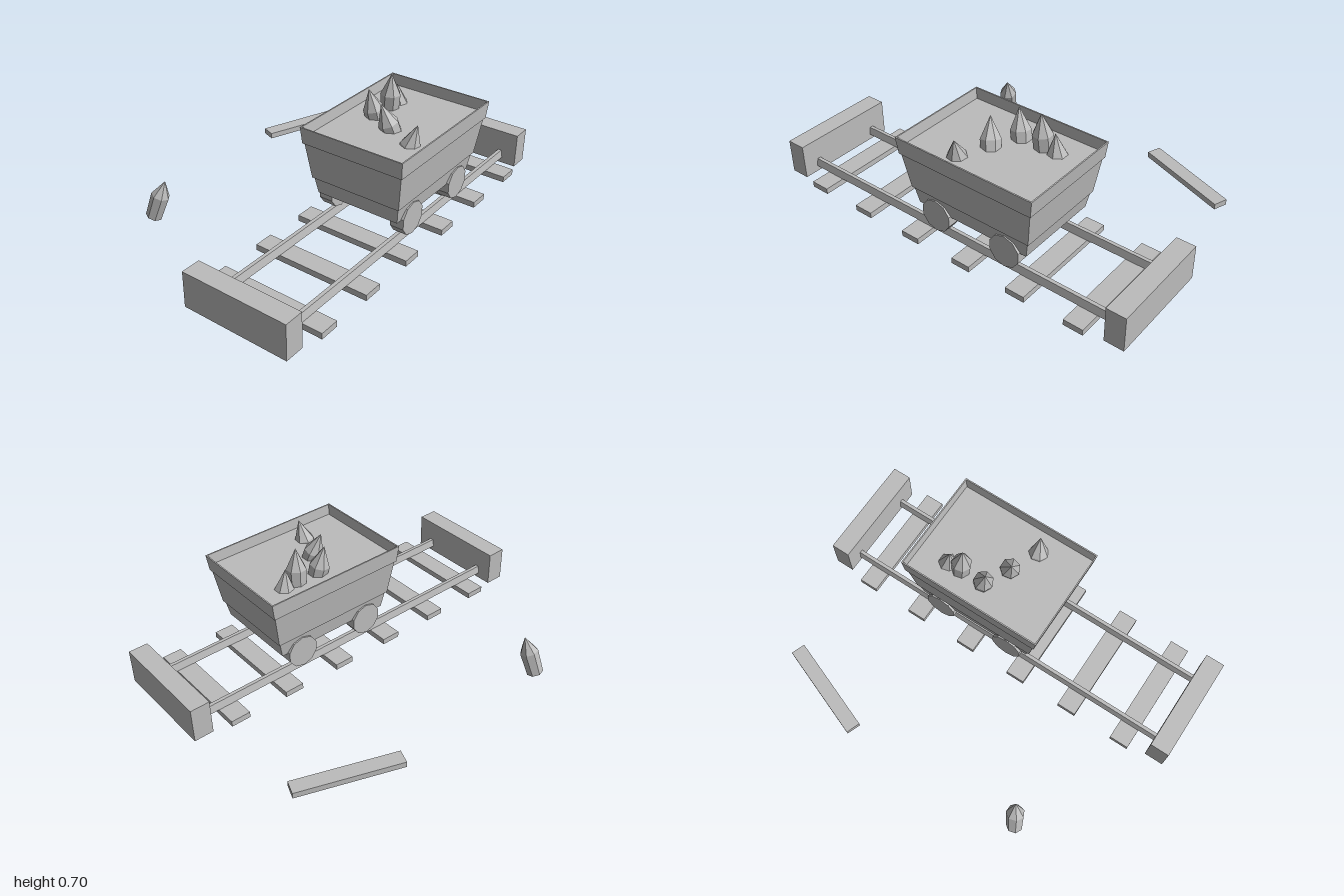
import * as THREE from 'three';

export function createModel() {
  const root = new THREE.Group();
  root.name = 'mineCartScene';
  const grey = new THREE.MeshStandardMaterial({ color: 0xbcbcbc });

  function add(name, geometry, x = 0, y = 0, z = 0, parent = root) {
    const mesh = new THREE.Mesh(geometry, grey);
    mesh.name = name;
    mesh.position.set(x, y, z);
    parent.add(mesh);
    return mesh;
  }
  // facet a geometry so that every face is flat
  function faceted(geometry) {
    const g = geometry.index ? geometry.toNonIndexed() : geometry;
    g.computeVertexNormals();
    return g;
  }

  // track: end stops, sleepers and tapered rails
  const trackX = 0.353;
  const track = new THREE.Group();
  track.name = 'track';
  root.add(track);
  for (const s of [-1, 1])
    add('bufferStop', new THREE.BoxGeometry(0.548, 0.18, 0.098), trackX, 0.14, s * 0.951, track);
  for (let i = 0; i < 6; i++)
    add('sleeper', new THREE.BoxGeometry(0.61, 0.03, 0.1), trackX, 0.065, -0.77 + i * 0.307, track);
  const railShape = new THREE.Shape([
    new THREE.Vector2(-0.017, 0), new THREE.Vector2(0.017, 0),
    new THREE.Vector2(0.009, 0.04), new THREE.Vector2(-0.009, 0.04),
  ]);
  const railGeometry = new THREE.ExtrudeGeometry(railShape, { depth: 1.81, bevelEnabled: false });
  for (const s of [-1, 1]) add('rail', railGeometry, trackX + s * 0.183, 0.08, -0.905, track);

  // cart body: rectangular sections [y, half width, half depth], outside up then inside down
  const sections = [
    [0.22, 0.219, 0.308], [0.305, 0.231, 0.325], [0.305, 0.238, 0.3325],
    [0.49, 0.261, 0.36], [0.49, 0.268, 0.367], [0.575, 0.2735, 0.3775],
    [0.575, 0.267, 0.371], [0.52, 0.262, 0.366],
  ];
  const corners = [[-1, 1], [1, 1], [1, -1], [-1, -1]];
  const points = [], index = [];
  for (const [y, hx, hz] of sections)
    for (const [cx, cz] of corners) points.push(cx * hx, y, cz * hz);
  for (let r = 0; r < sections.length - 1; r++)
    for (let c = 0; c < 4; c++) {
      const a = r * 4 + c, b = r * 4 + (c + 1) % 4;
      index.push(a, b, b + 4, a, b + 4, a + 4);
    }
  const last = (sections.length - 1) * 4;
  index.push(0, 2, 1, 0, 3, 2, last, last + 1, last + 2, last, last + 2, last + 3);
  const body = new THREE.BufferGeometry();
  body.setAttribute('position', new THREE.Float32BufferAttribute(points, 3));
  body.setIndex(index);
  const cart = new THREE.Group();
  cart.name = 'cart';
  root.add(cart);
  add('cartBody', faceted(body), 0.3535, 0, -0.153, cart);

  // wheels
  const wheelGeometry = faceted(
    new THREE.CylinderGeometry(0.083, 0.083, 0.07, 10).rotateZ(Math.PI / 2).rotateX(Math.PI / 10));
  for (const s of [-1, 1])
    for (const z of [0.045, -0.35]) add('wheel', wheelGeometry, trackX + s * 0.199, 0.2, z, cart);

  // crystal: seven-sided prism with a pointed end, running from foot to tip
  function crystal(name, foot, tip, cone, radius, parent) {
    const from = new THREE.Vector3(...foot), to = new THREE.Vector3(...tip);
    const dir = to.clone().sub(from), length = dir.length();
    const profile = [
      [0, 0], [radius * 0.9, 0], [radius, length - cone], [0, length],
    ].map(([r, y]) => new THREE.Vector2(r, y));
    const mesh = add(name, faceted(new THREE.LatheGeometry(profile, 7)), ...foot, parent);
    mesh.quaternion.setFromUnitVectors(new THREE.Vector3(0, 1, 0), dir.normalize());
  }
  // crystal load, each one given by its shoulder centre and tip
  const load = [
    [0.225, -0.36, 0.225, 0.62, -0.35], [0.23, -0.285, 0.235, 0.7, -0.28],
    [0.22, -0.155, 0.205, 0.665, -0.135], [0.35, -0.09, 0.32, 0.65, -0.065],
    [0.51, -0.03, 0.535, 0.62, -0.04],
  ];
  for (const [x, z, tx, ty, tz] of load)
    crystal('loadCrystal', [2 * x - tx, ty - 0.2, 2 * z - tz], [tx, ty, tz], 0.105, 0.05, cart);

  // loose pieces beside the track
  crystal('looseCrystal', [-0.574, 0.014, 0.557], [-0.515, 0.215, 0.52], 0.085, 0.046, root);
  add('loosePlank', new THREE.BoxGeometry(0.074, 0.03, 0.518), -0.535, 0.065, -0.615).rotation.y = -0.355;

  return root;
}
